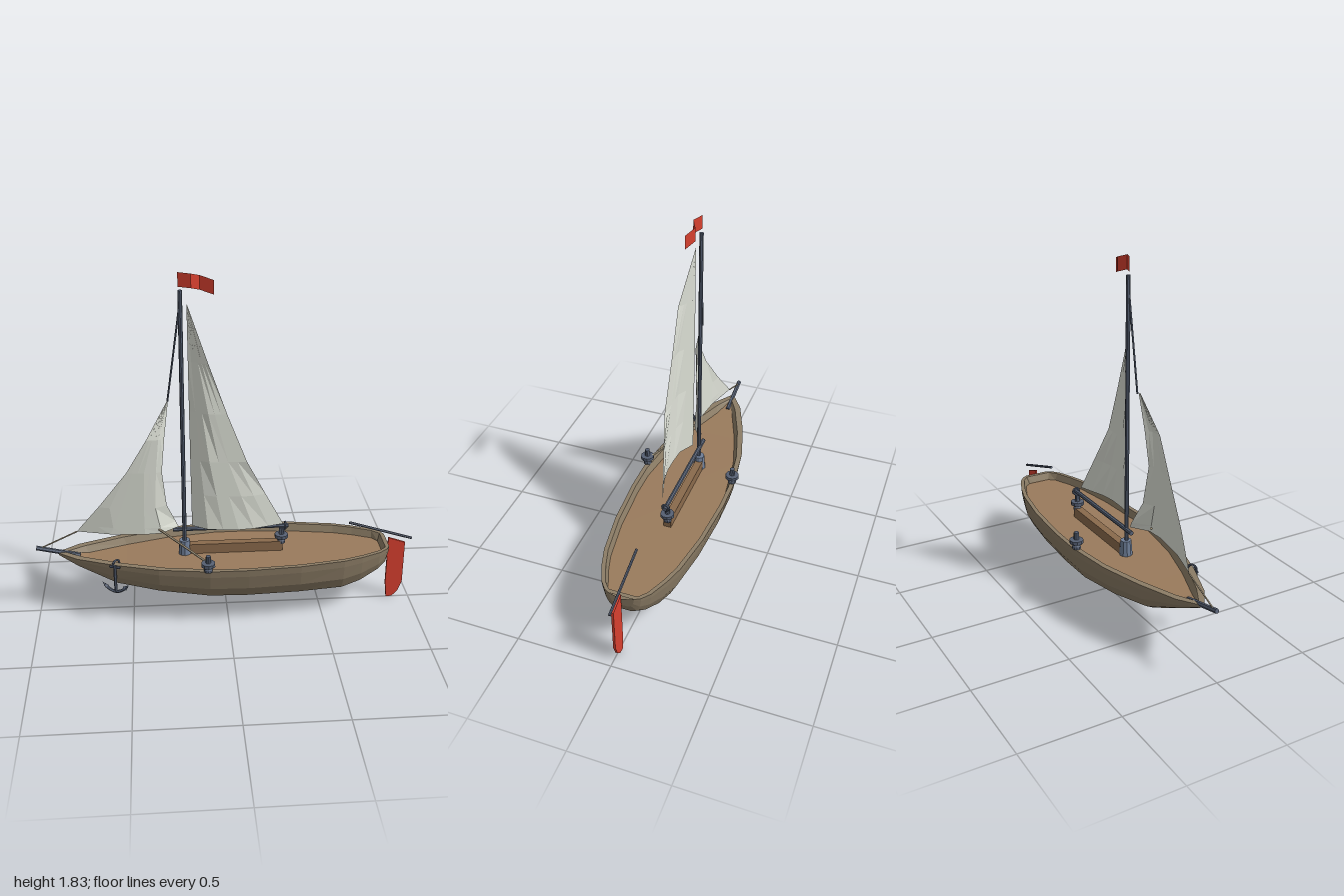
import * as THREE from 'three';

const mat = (color) => new THREE.MeshStandardMaterial({ color, flatShading: true, side: THREE.DoubleSide });
const HULL = mat(0x8c7d66), DECK = mat(0x9a7b5c), CABIN = mat(0x8a6a4c), SAIL = mat(0xdfe2d8);
const METAL = mat(0x566073), BASE = mat(0x6f7f99), ROPE = mat(0xb3a58a), RED = mat(0xd8402f);
const V = (x, y, z) => new THREE.Vector3(x, y, z);

function mesh(parent, name, geometry, material, x = 0, y = 0, z = 0) {
  const m = new THREE.Mesh(geometry, material);
  m.name = name;
  m.position.set(x, y, z);
  parent.add(m);
  return m;
}

// Skin through rows of points that all have the same length
function loft(rows, closed = false) {
  const n = rows[0].length, index = [];
  for (let i = 0; i < rows.length - 1; i++) {
    for (let j = 0; j < (closed ? n : n - 1); j++) {
      const k = (j + 1) % n;
      const a = i * n + j, b = a + n, c = i * n + k, d = c + n;
      index.push(a, c, b, b, c, d);
    }
  }
  const g = new THREE.BufferGeometry().setFromPoints(rows.flat());
  g.setIndex(index);
  g.computeVertexNormals();
  return g;
}

// Round bar between two points
function rod(parent, name, a, b, r, material, sides = 8) {
  const m = mesh(parent, name, new THREE.CylinderGeometry(r, r, a.distanceTo(b), sides), material);
  m.position.copy(a).lerp(b, 0.5);
  m.quaternion.setFromUnitVectors(V(0, 1, 0), b.clone().sub(a).normalize());
  return m;
}

// Piecewise-linear lookup in [[x, value], ...]
function lookup(table, x) {
  if (x <= table[0][0]) return table[0][1];
  for (let i = 1; i < table.length; i++) {
    const [x0, v0] = table[i - 1], [x1, v1] = table[i];
    if (x <= x1) return v0 + (v1 - v0) * (x - x0) / (x1 - x0);
  }
  return table[table.length - 1][1];
}

// Sail from rows [luffX, luffY, leechX, leechY], with belly depth given along x
function sail(parent, name, rows, belly) {
  const cols = 6;
  const pts = rows.map(([x0, y0, x1, y1]) => Array.from({ length: cols + 1 }, (_, j) => {
    const t = j / cols, x = x0 + (x1 - x0) * t;
    return V(x, y0 + (y1 - y0) * t, lookup(belly, x));
  }));
  return mesh(parent, name, loft(pts), SAIL);
}

const RIM = 0.35, MID = -0.01;
// Stations: x, half width, keel height
const STATIONS = [
  [-0.88, 0.01, 0.335], [-0.78, 0.08, 0.29], [-0.58, 0.157, 0.2], [-0.36, 0.22, 0.165],
  [-0.1, 0.257, 0.135], [0.1, 0.258, 0.13], [0.37, 0.24, 0.13], [0.6, 0.203, 0.13],
  [0.7, 0.172, 0.157], [0.8, 0.13, 0.21], [0.845, 0.095, 0.245], [0.862, 0.065, 0.29],
];
// Half section: share of half width, share of depth
const SECTION = [[1, 0], [0.98, 0.18], [0.9, 0.55], [0.73, 0.86], [0.46, 1]];

function buildHull(root) {
  const hull = new THREE.Group();
  hull.name = 'hull';
  root.add(hull);
  const rings = STATIONS.map(([x, w, keel]) => {
    const side = (s) => SECTION.map(([fw, fd]) => V(x, RIM - fd * (RIM - keel), MID + s * fw * w));
    return [...side(1), ...side(-1).reverse()];
  });
  mesh(hull, 'hullSkin', loft(rings), HULL);
  // Transom closes the stern
  const stern = rings[rings.length - 1];
  mesh(hull, 'transom', loft([stern, stern.map(() => V(0.862, RIM - 0.02, MID))]), HULL);

  // Bulwark: outer rim, inner rim, deck edge
  const outline = (inset, depth, squash) => {
    const side = (s) => STATIONS.map(([x, w, keel]) => V(
      x < 0 ? x + inset * 1.5 : Math.min(x, 0.862 - inset),
      RIM - Math.min(depth, (RIM - keel) * 0.6),
      MID + s * Math.max(w - inset, w * 0.2) * squash));
    return [...side(1), ...side(-1).reverse()];
  };
  const edge = outline(0.034, 0.04, 1);
  mesh(hull, 'bulwark', loft([outline(0, 0, 1), outline(0.022, 0, 1), edge], true), HULL);
  mesh(hull, 'deck', loft([edge, edge.map((p) => V(p.x, p.y, MID))], true), DECK);
  mesh(hull, 'deckRidge', new THREE.BoxGeometry(0.5, 0.055, 0.04), CABIN, 0.05, 0.337, -0.03);
}

function buildWinch(root, name, x, z) {
  const g = new THREE.Group();
  g.name = name;
  g.position.set(x, RIM, z);
  root.add(g);
  // Turned drum with a wide flange
  const profile = [[0, 0], [0.022, 0], [0.022, 0.014], [0.014, 0.03], [0.036, 0.032], [0.036, 0.05],
    [0.014, 0.052], [0.013, 0.09], [0, 0.09]];
  mesh(g, 'winchDrum', new THREE.LatheGeometry(profile.map(([r, y]) => new THREE.Vector2(r, y)), 10), METAL);
}

function buildAnchor(root) {
  const g = new THREE.Group();
  g.name = 'anchor';
  g.position.set(-0.585, 0, 0.155);
  g.rotation.y = -0.32;
  root.add(g);
  rod(g, 'shank', V(0, 0.2, 0), V(0, 0.355, 0), 0.008, METAL, 6);
  rod(g, 'stock', V(-0.028, 0.345, 0), V(0.028, 0.345, 0), 0.006, METAL, 6);
  // Curved arms with a fluke on each end
  const arms = new THREE.QuadraticBezierCurve3(V(-0.06, 0.235, 0), V(0, 0.165, 0), V(0.06, 0.235, 0));
  mesh(g, 'arms', new THREE.TubeGeometry(arms, 10, 0.008, 6), METAL);
  for (const s of [-1, 1]) {
    const fluke = mesh(g, 'fluke', new THREE.ConeGeometry(0.013, 0.035, 4), METAL, s * 0.06, 0.236, 0);
    fluke.rotation.z = -s * 0.8;
  }
  // Hook over the rim
  const hook = mesh(g, 'hook', new THREE.TorusGeometry(0.022, 0.006, 6, 10, Math.PI), METAL, 0, 0.352, -0.02);
  hook.rotation.y = Math.PI / 2 - 0.5;
}

function buildRig(root) {
  const rig = new THREE.Group();
  rig.name = 'rig';
  root.add(rig);
  rod(rig, 'mast', V(-0.22, 0.32, -0.022), V(-0.22, 1.74, -0.022), 0.011, METAL);
  mesh(rig, 'mastBase', new THREE.CylinderGeometry(0.028, 0.034, 0.08, 10), BASE, -0.22, 0.35, -0.025);
  rod(rig, 'boom', V(-0.28, 0.452, -0.028), V(0.33, 0.452, -0.028), 0.012, METAL);
  const ring = mesh(rig, 'boomRing', new THREE.TorusGeometry(0.018, 0.006, 6, 12), METAL, 0.315, 0.452, -0.028);
  ring.rotation.y = Math.PI / 2;
  rod(rig, 'boomSheet', V(0.315, 0.44, -0.028), V(0.295, 0.4, -0.028), 0.006, METAL, 6);

  sail(rig, 'mainsail', [
    [-0.18, 0.485, 0.3, 0.475], [-0.182, 0.68, 0.2, 0.67], [-0.184, 0.87, 0.1, 0.87],
    [-0.186, 1.13, 0, 1.13], [-0.188, 1.39, -0.09, 1.39], [-0.19, 1.68, -0.186, 1.67],
  ], [[-0.186, -0.005], [-0.09, 0.05], [0.1, 0.055], [0.3, -0.005]]);
  sail(rig, 'jib', [
    [-0.78, 0.465, -0.25, 0.472], [-0.75, 0.505, -0.265, 0.505], [-0.66, 0.62, -0.31, 0.62],
    [-0.51, 0.82, -0.33, 0.82], [-0.405, 1, -0.313, 1], [-0.295, 1.19, -0.29, 1.185],
  ], [[-0.78, -0.02], [-0.6, 0.03], [-0.42, 0.05], [-0.34, 0.045], [-0.27, -0.02]]);

  rod(rig, 'bowsprit', V(-0.997, 0.378, -0.015), V(-0.77, 0.325, -0.015), 0.012, METAL, 6);
  rod(rig, 'forestayLower', V(-0.98, 0.373, -0.015), V(-0.78, 0.465, -0.02), 0.004, ROPE, 5);
  rod(rig, 'forestayUpper', V(-0.292, 1.185, -0.01), V(-0.222, 1.68, -0.02), 0.005, METAL, 5);
  rod(rig, 'jibSheet', V(-0.355, 0.495, 0.04), V(-0.11, 0.39, 0.225), 0.006, ROPE, 6);

  // Waving flag: x, lower edge, z
  const wave = [[-0.23, 1.757, -0.022], [-0.168, 1.755, 0.002], [-0.125, 1.74, -0.024], [-0.06, 1.723, 0.004]];
  mesh(rig, 'flag', loft([0, 0.07].map((h) => wave.map(([x, y, z]) => V(x, y + h, z)))), RED);
}

function buildSteering(root) {
  const outline = [[0.87, 0.367], [0.962, 0.335], [0.962, 0.09], [0.942, 0.035], [0.91, 0], [0.88, 0], [0.87, 0.09]];
  const blade = new THREE.Shape(outline.map(([x, y]) => new THREE.Vector2(x, y)));
  mesh(root, 'rudder', new THREE.ExtrudeGeometry(blade, { depth: 0.012, bevelEnabled: false }), RED, 0, 0, -0.012);
  rod(root, 'tiller', V(0.655, 0.465, -0.008), V(0.998, 0.357, -0.008), 0.007, METAL, 6);
}

export function createModel() {
  const root = new THREE.Group();
  root.name = 'sailboat';
  buildHull(root);
  buildRig(root);
  buildWinch(root, 'leftWinch', -0.11, 0.24);
  buildWinch(root, 'rightWinch', -0.11, -0.25);
  buildWinch(root, 'sternWinch', 0.295, -0.03);
  buildAnchor(root);
  buildSteering(root);
  return root;
}
